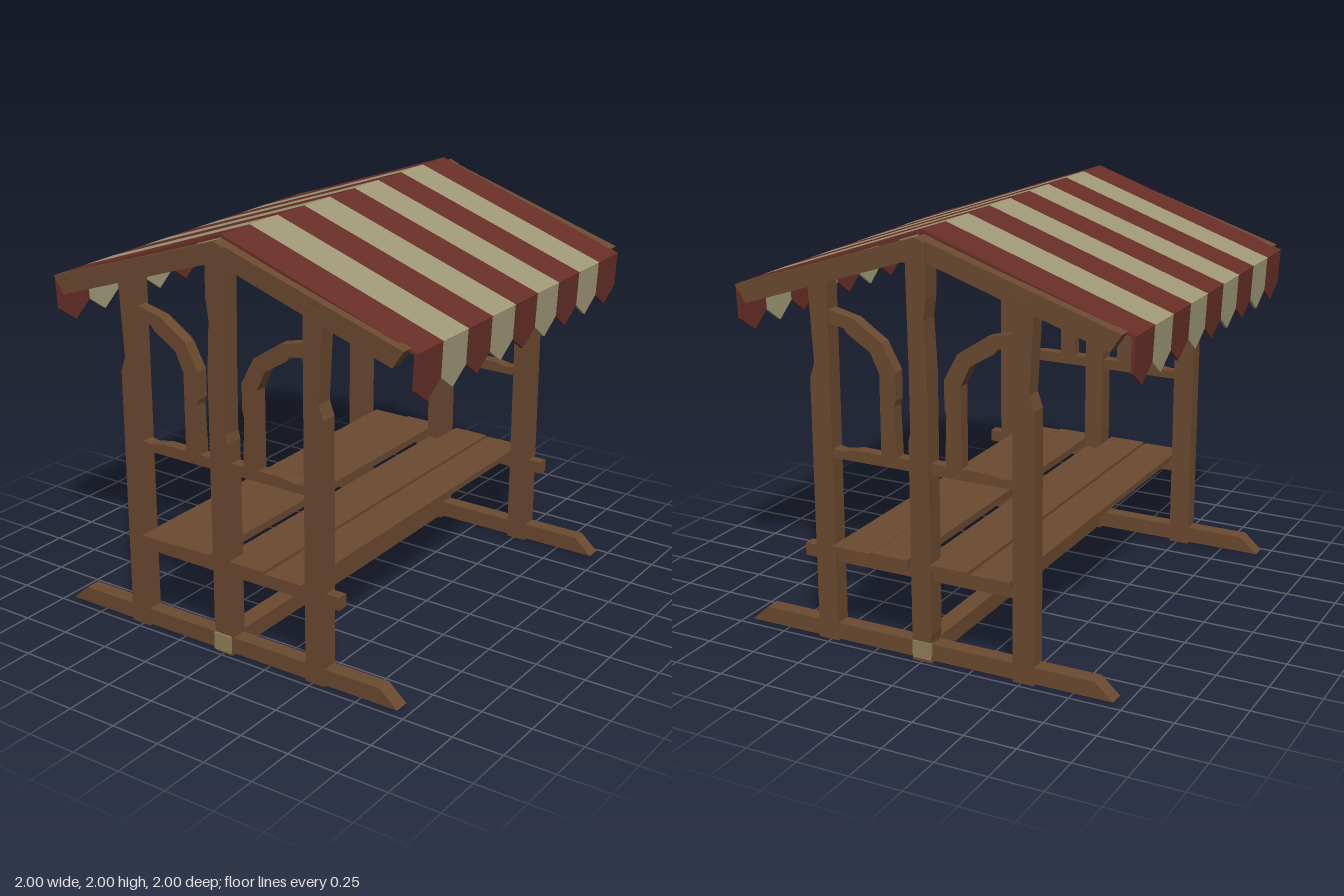
import * as THREE from 'three';

const mat = (color, extra = {}) => new THREE.MeshStandardMaterial({ color, flatShading: true, ...extra });
const wood = mat(0x6b4a30);
const endGrain = mat(0x8f8058);
const red = mat(0x682f27, { side: THREE.DoubleSide });
const cream = mat(0xa09a78, { side: THREE.DoubleSide });

function add(parent, name, geometry, material = wood) {
  const mesh = new THREE.Mesh(geometry, material);
  mesh.name = name;
  parent.add(mesh);
  return mesh;
}

// Box given by its limits on each axis
function block(parent, name, [x0, x1], [y0, y1], [z0, z1], material = wood) {
  const mesh = add(parent, name, new THREE.BoxGeometry(x1 - x0, y1 - y0, z1 - z0), material);
  mesh.position.set((x0 + x1) / 2, (y0 + y1) / 2, (z0 + z1) / 2);
  return mesh;
}

// Outline in the x-y plane, extruded from z0 to z1
function slab(parent, name, points, z0, z1, material = wood) {
  const shape = new THREE.Shape(points.map(([x, y]) => new THREE.Vector2(x, y)));
  const geometry = new THREE.ExtrudeGeometry(shape, { depth: z1 - z0, bevelEnabled: false });
  geometry.translate(0, 0, z0);
  return add(parent, name, geometry, material);
}

const flip = (points, s) => points.map(([x, y]) => [x * s, y]);

// One end frame, its depth running from the inner to the outer side
function endFrame(name, side) {
  const frame = new THREE.Group();
  frame.name = name;
  const part = (label, points, near, far) =>
    slab(frame, label, points, Math.min(near * side, far * side), Math.max(near * side, far * side));

  part('footBeam', [[-0.95, 0.01], [0.95, 0.01], [0.86, 0.09], [-0.86, 0.09]], 0.892, 0.968);
  part('centrePost', [
    [-0.05, 0], [0.05, 0], [0.05, 1.06], [0.04, 1.1], [0.042, 1.4], [0.05, 1.85], [0.05, 1.96],
    [0, 1.98], [-0.05, 1.96], [-0.05, 1.72], [-0.036, 1.62], [-0.05, 1.38], [-0.05, 0.14], [-0.044, 0.1],
  ], 0.885, 0.98);
  part('armRail', [
    [-0.47, 0.91], [0.47, 0.91], [0.47, 0.955], [0.41, 0.948], [0.33, 0.963],
    [-0.33, 0.963], [-0.41, 0.948], [-0.47, 0.955],
  ], 0.9, 0.96);
  block(frame, 'seatCrossBeam', [-0.5, 0.635], [0.398, 0.46], side > 0 ? [0.9, 0.955] : [-0.955, -0.9]);

  for (const s of [-1, 1]) {
    const hand = s > 0 ? 'left' : 'right';
    part(hand + 'Post', flip([
      [0.46, 0], [0.565, 0], [0.565, 1.28], [0.54, 1.35], [0.56, 1.7], [0.56, 1.76], [0.46, 1.79],
    ], s), 0.887, 0.97);
    part(hand + 'CurvedBrace', flip([
      [0.47, 1.61], [0.33, 1.577], [0.19, 1.485], [0.123, 1.36], [0.123, 1.23], [0.132, 1.2], [0.123, 0.95],
      [0.205, 0.95], [0.205, 1.34], [0.25, 1.435], [0.365, 1.505], [0.385, 1.53], [0.47, 1.54],
    ], s), 0.9, 0.96);
    part(hand + 'Rafter', flip([[0.96, 1.667], [0.905, 1.585], [0, 1.885], [0, 1.978]], s), 0.905, 0.967);
  }
  return frame;
}

// Striped cloth roof with a pointed valance along both eaves
function canopy() {
  const roof = new THREE.Group();
  roof.name = 'canopy';
  const stripes = 9, start = -0.912, width = 1.836 / stripes;
  for (let i = 0; i < stripes; i++) {
    const z0 = start + i * width, z1 = z0 + width;
    const material = i % 2 ? cream : red;
    for (const s of [-1, 1]) {
      slab(roof, 'roofStripe', flip([[0, 2], [1, 1.652], [0.99, 1.642], [0, 1.986]], s), z0, z1, material);
      const flap = new THREE.Shape([[0, 1.65], [width, 1.65], [width, 1.49], [width / 2, 1.417], [0, 1.49]]
        .map(([z, y]) => new THREE.Vector2(-z, y)));
      const geometry = new THREE.ExtrudeGeometry(flap, { depth: 0.014, bevelEnabled: false });
      geometry.rotateY(Math.PI / 2);
      geometry.translate(s * 0.985 - 0.007, 0, z0);
      // the flap leans slightly inward towards its point
      const p = geometry.attributes.position;
      for (let k = 0; k < p.count; k++) p.setX(k, p.getX(k) + s * (p.getY(k) - 1.56) * 0.05);
      geometry.computeVertexNormals();
      add(roof, 'valanceFlap', geometry, material);
    }
  }
  return roof;
}

export function createModel() {
  const model = new THREE.Group();
  model.name = 'coveredBench';
  model.add(endFrame('frontFrame', 1), endFrame('backFrame', -1));

  // Long beams joining the two frames
  block(model, 'floorBeam', [-0.046, 0.046], [0.015, 0.1], [-0.98, 0.98]);
  for (const s of [-1, 1])
    block(model, 'floorBeamEnd', [-0.048, 0.048], [0.015, 0.1], s > 0 ? [0.975, 0.99] : [-0.985, -0.97], endGrain);
  block(model, 'seatBeam', [-0.04, 0.04], [0.385, 0.46], [-0.9, 0.9]);
  block(model, 'ridgeBeam', [-0.035, 0.035], [1.87, 1.955], [-0.9, 0.9]);

  // Seat planks, two on each side of the centre posts
  const planks = [[-0.46, -0.26, 0.49], [-0.25, -0.06, 0.496], [0.06, 0.25, 0.496], [0.26, 0.46, 0.49]];
  for (const [x0, x1, top] of planks) block(model, 'seatPlank', [x0, x1], [0.46, top], [-1, 1]);

  model.add(canopy());
  return model;
}
